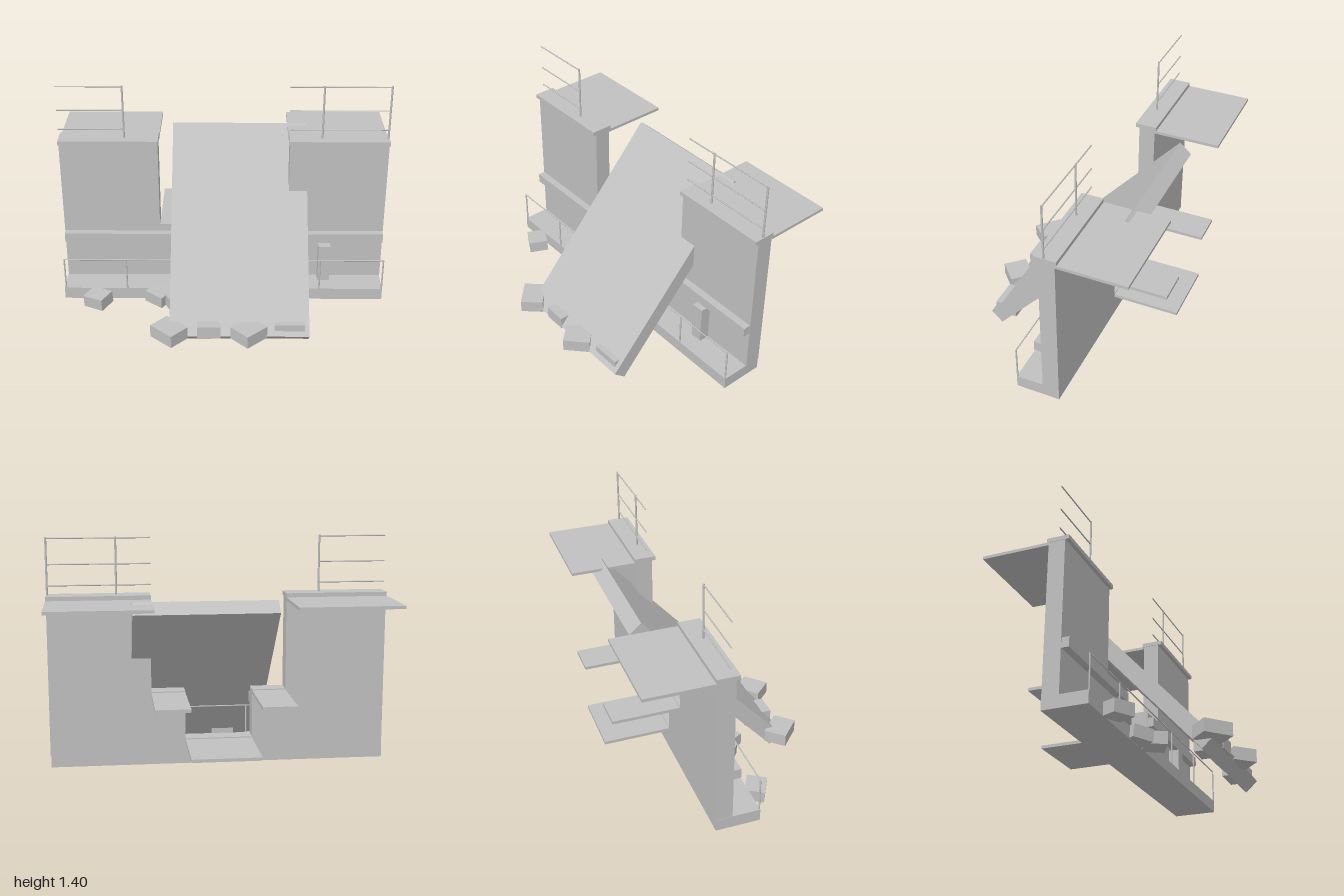
import * as THREE from 'three';

const concrete = new THREE.MeshStandardMaterial({ color: 0xc0c0c0 });
concrete.name = 'concrete grey';

export function createModel() {
  const model = new THREE.Group();
  model.name = 'breachedWall';

  // Box given by its limits on each axis
  function block(name, [x0, x1], [y0, y1], [z0, z1], parent = model) {
    const mesh = new THREE.Mesh(new THREE.BoxGeometry(x1 - x0, y1 - y0, z1 - z0), concrete);
    mesh.position.set((x0 + x1) / 2, (y0 + y1) / 2, (z0 + z1) / 2);
    mesh.name = name;
    parent.add(mesh);
    return mesh;
  }

  // Thin round bar between two points
  function bar(name, a, b, radius, parent) {
    const from = new THREE.Vector3(...a), to = new THREE.Vector3(...b);
    const dir = to.clone().sub(from);
    const mesh = new THREE.Mesh(new THREE.CylinderGeometry(radius, radius, dir.length(), 8), concrete);
    mesh.position.copy(from).add(to).multiplyScalar(0.5);
    mesh.quaternion.setFromUnitVectors(new THREE.Vector3(0, 1, 0), dir.normalize());
    mesh.name = name;
    parent.add(mesh);
  }

  // Footing with a walkway in front of the wall
  block('base', [-1, 0.995], [0.058, 0.133], [-0.2, 0.067]);

  // Wall stepping down to a breach in the middle
  block('lowWall', [-0.2, 0.2], [0.133, 0.21], [-0.2, -0.1]);
  for (const s of [-1, 1]) {
    const span = (a, b) => (s < 0 ? [-b, -a] : [a, b]);
    block('tallWall', span(0.4, 0.998), [0.133, 1.05], [-0.2, -0.1]);
    block('steppedWall', span(0.2, 0.4), [0.133, 0.5], [-0.2, -0.1]);
    block('ledge', span(0.2, 0.995), [0.395, 0.455], [-0.1, -0.055]);
    block('wallCap', span(0.397, 1), [1.05, 1.075], [-0.21, -0.077]);
    block('topPlatform', span(0.397, 1), [1.033, 1.051], [-0.608, -0.2]);
    block('stepPlatform', span(0.2, 0.4), [0.475, 0.494], [-0.608, -0.2]);
  }
  block('lowPlatform', [-0.2, 0.2], [0.185, 0.204], [-0.608, -0.2]);
  block('cabinet', [0.595, 0.67], [0.133, 0.375], [-0.1, -0.035]);

  // Walkway railing
  const lowRail = new THREE.Group();
  lowRail.name = 'walkwayRailing';
  bar('rail', [-0.995, 0.337, 0.064], [0.993, 0.337, 0.064], 0.004, lowRail);
  for (const x of [-0.99, -0.605, -0.2, 0.2, 0.598, 0.99])
    bar('post', [x, 0.133, 0.064], [x, 0.337, 0.064], 0.005, lowRail);
  model.add(lowRail);

  // Railings on top of the wall
  const topRail = new THREE.Group();
  topRail.name = 'topRailing';
  for (const y of [1.13, 1.253, 1.403]) {
    bar('rail', [-1, y, -0.135], [-0.603, y, -0.135], 0.004, topRail);
    bar('rail', [0.393, y, -0.135], [0.993, y, -0.135], 0.004, topRail);
  }
  for (const x of [-0.603, 0.595, 0.993])
    bar('post', [x, 1.05, -0.135], [x, 1.41, -0.135], 0.006, topRail);
  model.add(topRail);

  // Fallen slab leaning through the breach
  const slab = block('leaningSlab', [-0.32, 0.513], [-0.669, 0.669], [-0.048, 0.048]);
  slab.position.set(0.0965, 0.535, 0.016);
  slab.rotation.x = -0.733;

  // Rubble: position, size, rotation
  const rubble = [
    [[-0.783, 0.095, 0.13], [0.135, 0.075, 0.12], [0.06, -0.5, 0.06]],
    [[-0.4, 0.097, 0.085], [0.13, 0.075, 0.13], [0.05, -0.62, -0.04]],
    [[-0.285, 0.096, 0.14], [0.14, 0.076, 0.13], [0, 0.5, 0]],
    [[-0.322, 0.096, 0.49], [0.177, 0.078, 0.138], [0, -0.75, 0]],
    [[-0.085, 0.096, 0.412], [0.14, 0.078, 0.175], [0, 0, 0]],
    [[0.153, 0.096, 0.495], [0.163, 0.078, 0.145], [0, 0.76, 0]],
    [[0.395, 0.096, 0.41], [0.18, 0.078, 0.135], [0, 0, 0]],
  ];
  for (const [pos, size, rot] of rubble) {
    const rock = new THREE.Mesh(new THREE.BoxGeometry(...size), concrete);
    rock.position.set(...pos);
    rock.rotation.set(...rot);
    rock.name = 'rubble';
    model.add(rock);
  }

  return model;
}
